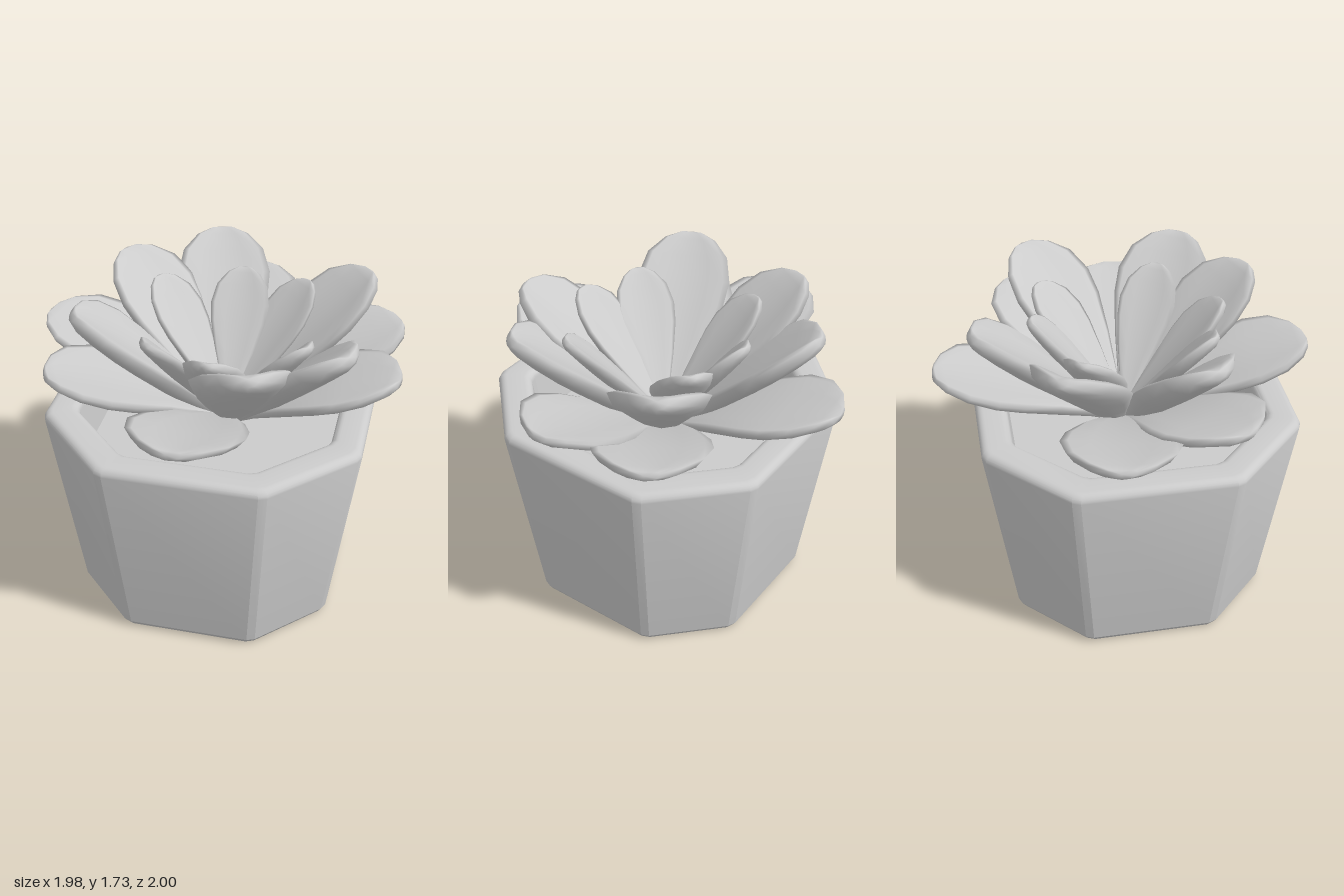
import * as THREE from 'three';
import { toCreasedNormals } from 'three/addons/utils/BufferGeometryUtils.js';

const material = new THREE.MeshStandardMaterial({ color: 0xcccccc });

// Skins a list of closed rings, with a point closing each end
function skin(rings, start, end) {
  const n = rings[0].length;
  const pos = [];
  const index = [];
  for (const p of [...rings.flat(), start, end]) pos.push(p.x, p.y, p.z);
  const s = rings.length * n;
  const last = s - n;
  for (let j = 0; j < n; j++) {
    const k = (j + 1) % n;
    for (let i = 0; i < last; i += n) {
      index.push(i + j, i + k, i + n + j, i + k, i + n + k, i + n + j);
    }
    index.push(s, k, j, last + j, last + k, s + 1);
  }
  const geo = new THREE.BufferGeometry();
  geo.setAttribute('position', new THREE.Float32BufferAttribute(pos, 3));
  geo.setIndex(index);
  geo.computeVertexNormals();
  return geo;
}

// Square ring with cut corners, each corner slightly bevelled
function potRing(h, y) {
  const corners = [];
  for (let q = 0; q < 4; q++) {
    for (const side of [0.5, -0.5]) {
      const c = new THREE.Vector3(h, y, h * side);
      corners.push(c.applyAxisAngle(new THREE.Vector3(0, 1, 0), (q * Math.PI) / 2));
    }
  }
  const ring = [];
  corners.forEach((c, i) => {
    for (const o of [7, 1]) {
      const next = corners[(i + o) % 8];
      ring.push(c.clone().lerp(next, 0.025 / c.distanceTo(next)));
    }
  });
  return ring;
}

function makePot() {
  const soil = 0.9;
  // Half width and height, from the base up over the rounded rim and down to the soil
  const profile = [[0.65, 0], [0.68, 0.01], [0.698, 0.04]];
  for (let i = 0; i <= 12; i++) {
    const a = (i / 12) * Math.PI;
    profile.push([(i <= 6 ? 0.795 : 0.71) + 0.042 * Math.cos(a), 1.13 + 0.043 * Math.sin(a)]);
    if (i === 6) profile.push([0.71, 1.173]);
  }
  profile.push([0.64, soil]);
  const geo = skin(profile.map(([h, y]) => potRing(h, y)),
    new THREE.Vector3(0, 0, 0), new THREE.Vector3(0, soil, 0));
  const pot = new THREE.Mesh(toCreasedNormals(geo, 0.36), material);
  pot.name = 'pot';
  pot.position.set(0.005, 0, 0.04);
  return pot;
}

// Position along the leaf, relative width, relative thickness
const leafSections = [
  [0, 0.14, 0.6], [0.2, 0.36, 0.8], [0.4, 0.67, 1], [0.6, 0.93, 1], [0.73, 1, 0.95],
  [0.86, 0.87, 0.85], [0.95, 0.55, 0.75], [0.99, 0.24, 0.5],
];

function leafGeometry(base, tip, { halfWidth, thickness, cup, arch }) {
  const d = tip.clone().sub(base).normalize();
  const side = new THREE.Vector3(0, 1, 0).cross(d).normalize();
  const up = d.clone().cross(side);
  const rings = leafSections.map(([t, w, th]) => {
    const ring = [];
    for (let j = 0; j < 12; j++) {
      const a = (j / 12) * Math.PI * 2;
      const c = Math.cos(a);
      const s = Math.sin(a);
      // Shallow hollow above, fuller keel below, edges curled up
      const lift = thickness * th * Math.sign(s) * Math.abs(s) ** 0.6 * (s > 0 ? 0.45 : 1)
        + cup * w * c * c + arch * Math.sin(Math.PI * t);
      ring.push(base.clone().lerp(tip, t)
        .addScaledVector(side, halfWidth * w * c)
        .addScaledVector(up, lift));
    }
    return ring;
  });
  return skin(rings, base, tip);
}

// Three tiers of leaves; each tip is an x, z pair
const tiers = [
  { name: 'outerLeaf', y0: 0.98, y1: 1.42, halfWidth: 0.305, thickness: 0.06, cup: 0.045, arch: 0.04,
    tips: [[-0.01, -1], [0.92, -0.49], [0.98, 0.12], [-0.02, 1], [-0.8, 0.47], [-0.985, -0.18]] },
  { name: 'middleLeaf', y0: 0.98, y1: 1.72, halfWidth: 0.255, thickness: 0.08, cup: 0.06, arch: 0.01,
    tips: [[-0.15, -0.79], [-0.61, -0.42], [0.75, -0.44], [0.74, 0.45], [0.31, 0.74], [-0.67, 0.34]] },
  { name: 'innerLeaf', y0: 1.02, y1: 1.65, halfWidth: 0.16, thickness: 0.05, cup: 0.035, arch: 0,
    tips: [[0.05, -0.48], [-0.39, -0.28], [0.42, -0.4], [0.52, 0.29], [0.07, 0.55], [-0.27, 0.43]] },
];

export function createModel() {
  const model = new THREE.Group();
  model.name = 'pottedSucculent';
  model.add(makePot());

  const plant = new THREE.Group();
  plant.name = 'rosette';
  for (const tier of tiers) {
    for (const [x, z] of tier.tips) {
      const geo = leafGeometry(new THREE.Vector3(0.06, tier.y0, 0.01),
        new THREE.Vector3(x, tier.y1, z), tier);
      const leaf = new THREE.Mesh(geo, material);
      leaf.name = tier.name;
      plant.add(leaf);
    }
  }
  // Tapered stem joining the leaf bases to the soil
  const stem = new THREE.Mesh(new THREE.CylinderGeometry(0.08, 0.03, 0.16, 10), material);
  stem.name = 'stem';
  stem.position.set(0.06, 0.96, 0.01);
  plant.add(stem);
  model.add(plant);
  return model;
}
